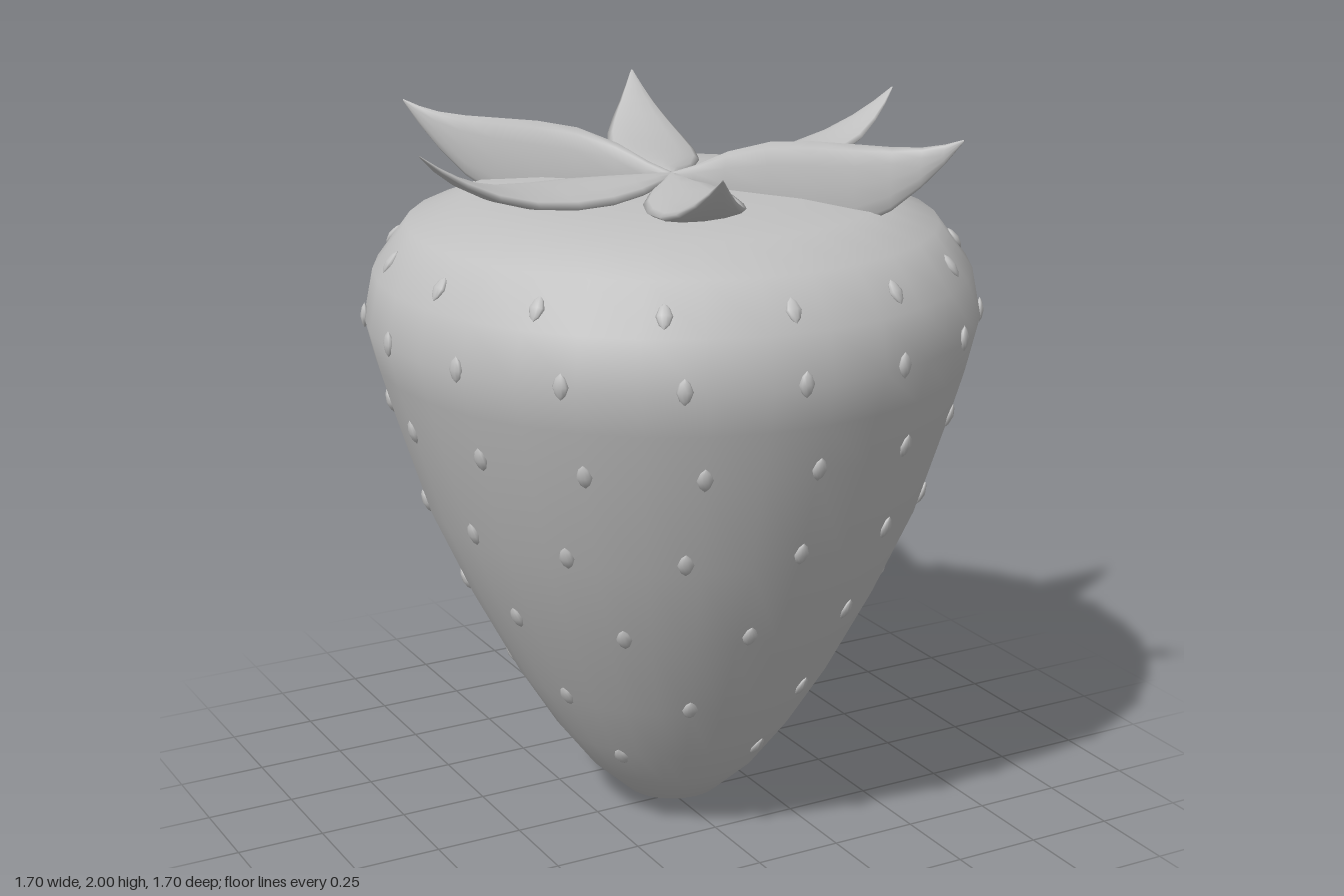
import * as THREE from 'three';

const grey = new THREE.MeshStandardMaterial({ color: 0xc0c0c0 });
grey.name = 'plain grey';

// Body outline as [radius, height], from the tip to the top centre
const PROFILE = [
  [0, 0.005], [0.14, 0.053], [0.25, 0.155], [0.345, 0.28], [0.453, 0.455], [0.58, 0.7],
  [0.692, 0.95], [0.777, 1.22], [0.818, 1.36], [0.845, 1.475], [0.818, 1.61],
  [0.725, 1.735], [0.57, 1.795], [0.38, 1.818], [0.18, 1.825], [0, 1.825],
];
const AXIS_Z = -0.008;

// Body radius at a height
function radiusAt(y) {
  const i = PROFILE.findIndex((p) => p[1] >= y);
  const [r0, y0] = PROFILE[i - 1], [r1, y1] = PROFILE[i];
  return r0 + ((r1 - r0) * (y - y0)) / (y1 - y0);
}

// Leaf spine stations: [distance out, height, half width, half thickness]
const LEAF = [
  [0.0, 1.845, 0.012, 0.012], [0.07, 1.842, 0.04, 0.018], [0.16, 1.84, 0.085, 0.022],
  [0.28, 1.84, 0.12, 0.024], [0.4, 1.844, 0.126, 0.023], [0.52, 1.858, 0.112, 0.021],
  [0.62, 1.885, 0.085, 0.018], [0.7, 1.922, 0.053, 0.014], [0.76, 1.96, 0.027, 0.009],
  [0.81, 2.0, 0.003, 0.002],
];

// Leaf pointing along +x, made of oval sections rolled about the spine
function leafGeometry(roll) {
  const sides = 12, pos = [], idx = [];
  for (const [x, y, w, t] of LEAF) {
    for (let j = 0; j < sides; j++) {
      const a = (j / sides) * Math.PI * 2;
      const u = w * Math.cos(a), v = t * Math.sin(a);
      pos.push(x, y + v * Math.cos(roll) - u * Math.sin(roll), u * Math.cos(roll) + v * Math.sin(roll));
    }
  }
  for (let i = 0; i < LEAF.length - 1; i++) {
    for (let j = 0; j < sides; j++) {
      const k = (j + 1) % sides;
      const a = i * sides + j, b = i * sides + k;
      idx.push(a, a + sides, b, b, a + sides, b + sides);
    }
  }
  // Close both ends
  const last = (LEAF.length - 1) * sides;
  for (let j = 1; j < sides - 1; j++) {
    idx.push(0, j, j + 1, last, last + j + 1, last + j);
  }
  const g = new THREE.BufferGeometry();
  g.setAttribute('position', new THREE.Float32BufferAttribute(pos, 3));
  g.setIndex(idx);
  g.computeVertexNormals();
  return g;
}

export function createModel() {
  const model = new THREE.Group();
  model.name = 'strawberry';

  // Fruit body
  const points = PROFILE.map(([r, y]) => new THREE.Vector2(r, y));
  const body = new THREE.Mesh(new THREE.LatheGeometry(points, 32), grey);
  body.name = 'fruitBody';
  body.position.z = AXIS_Z;
  model.add(body);

  // Pointed seeds in staggered rows: [height, count, half-step offset]
  const seeds = new THREE.Group();
  seeds.name = 'seeds';
  seeds.position.z = AXIS_Z;
  const spindle = [[0, -1], [0.6, -0.65], [1, 0], [0.6, 0.65], [0, 1]];
  const seedShape = new THREE.LatheGeometry(spindle.map(([r, y]) => new THREE.Vector2(r, y)), 10);
  seedShape.scale(0.012, 0.035, 0.022);
  const rows = [
    [0.26, 5, 0], [0.47, 8, 0.5], [0.725, 11, 0], [0.98, 14, 0.5],
    [1.235, 16, 0], [1.485, 17, 0.5], [1.66, 15, 0],
  ];
  for (const [y, count, offset] of rows) {
    const lean = Math.atan2(radiusAt(y + 0.08) - radiusAt(y - 0.08), 0.16);
    for (let k = 0; k < count; k++) {
      const arm = new THREE.Group();
      arm.rotation.y = -((k + offset) / count) * Math.PI * 2;
      const seed = new THREE.Mesh(seedShape, grey);
      seed.name = 'seed';
      seed.position.set(radiusAt(y), y, 0);
      seed.rotation.z = -lean;
      arm.add(seed);
      seeds.add(arm);
    }
  }
  model.add(seeds);

  // Six leaves; one opposite pair stands on edge, the others lean slightly towards it
  const crown = new THREE.Group();
  crown.name = 'leafCrown';
  crown.position.z = AXIS_Z;
  const rolls = [-4, 4, 90];
  for (let k = 0; k < 6; k++) {
    const leaf = new THREE.Mesh(leafGeometry(THREE.MathUtils.degToRad(rolls[k % 3])), grey);
    leaf.name = 'leaf';
    leaf.rotation.y = THREE.MathUtils.degToRad(10 + 60 * k);
    crown.add(leaf);
  }
  model.add(crown);

  return model;
}
